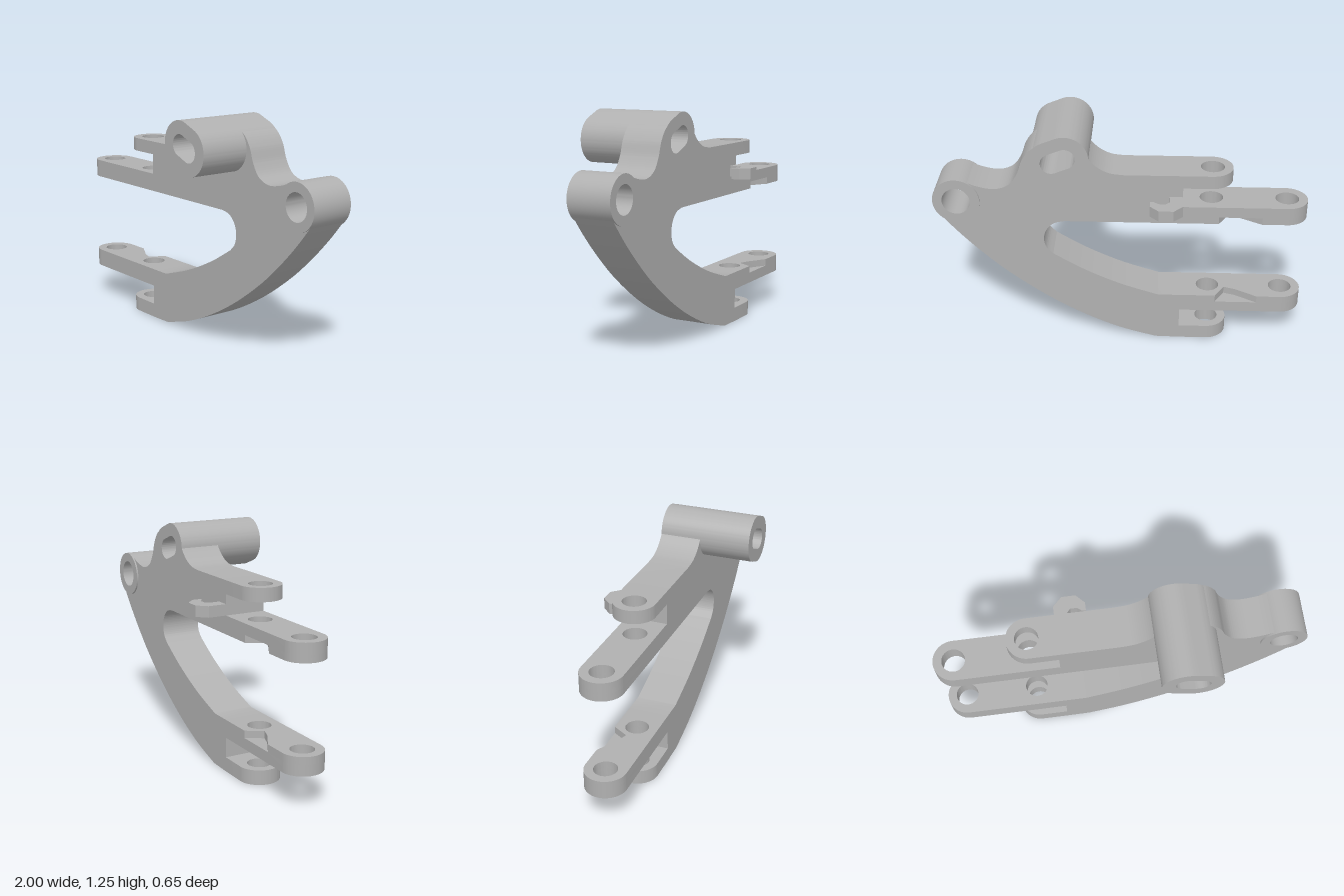
import * as THREE from 'three';
import { toCreasedNormals } from 'three/addons/utils/BufferGeometryUtils.js';

const BACK = -0.175, FRONT = 0.05, MID = (BACK + FRONT) / 2, HALF = (FRONT - BACK) / 2;
const ROOT = -0.33; // where the fork tines meet the body

const grey = new THREE.MeshStandardMaterial({ color: 0xb0b0b0 });
grey.name = 'plain grey';

const pts = (list) => list.map(([x, y]) => new THREE.Vector2(x, y));

function circle(x, y, r, Type = THREE.Path) {
  return new Type().absarc(x, y, r, 0, Math.PI * 2, false);
}

// Rounded slot running between two centres
function stadium([ax, ay], [bx, by], r, Type = THREE.Path) {
  const a = Math.atan2(by - ay, bx - ax);
  const s = new Type();
  s.absarc(bx, by, r, a - Math.PI / 2, a + Math.PI / 2, false);
  s.absarc(ax, ay, r, a + Math.PI / 2, a + Math.PI * 1.5, false);
  s.closePath();
  return s;
}

function extrude(shape, depth) {
  return new THREE.ExtrudeGeometry(shape, { depth, bevelEnabled: false, curveSegments: 24 });
}

function mesh(name, geometry) {
  const m = new THREE.Mesh(toCreasedNormals(geometry, 0.5), grey);
  m.name = name;
  return m;
}

// Side profile extruded from z0 to z1
const sidePart = (name, shape, z0, z1) => mesh(name, extrude(shape, z1 - z0).translate(0, 0, z0));

// Plan profile (x, z) extruded from y0 up to y1
const planPart = (name, shape, y0, y1) =>
  mesh(name, extrude(shape, y1 - y0).rotateX(Math.PI / 2).translate(0, y1, 0));

// Rounded tine seen from above, with bolt holes and an optional notch in its back edge
function tineShape(tip, holes, notch) {
  const s = new THREE.Shape();
  s.moveTo(ROOT, BACK);
  s.lineTo(ROOT, FRONT);
  s.absarc(tip + HALF, MID, HALF, Math.PI / 2, Math.PI * 1.5, false);
  if (notch) {
    [[-0.755, BACK], [-0.636, -0.107], [-0.577, -0.087], [-0.525, BACK]].forEach(([x, z]) => s.lineTo(x, z));
  }
  s.closePath();
  s.holes = holes.map((x) => circle(x, MID, 0.063));
  return s;
}

export function createModel() {
  const model = new THREE.Group();
  model.name = 'bracketArm';

  const slotA = [0.29, 1.125], slotB = [0.36, 1.097];
  const pivot = [0.87, 0.87];

  // Curved C-shaped body
  const body = new THREE.Shape();
  body.moveTo(ROOT, 0);
  body.lineTo(-0.2, 0.003);
  body.splineThru(pts([[0, 0.062], [0.2, 0.151], [0.4, 0.268], [0.6, 0.415], [0.75, 0.55], [0.87, 0.675], [0.966, 0.79]]));
  body.absarc(...pivot, 0.125, -0.69, 1.9, false);
  body.splineThru(pts([[0.75, 0.957], [0.66, 0.944], [0.585, 0.972], [0.54, 1.035], [0.51, 1.115], [0.465, 1.175], [0.4, 1.21], [0.335, 1.24]]));
  body.lineTo(0.29, 1.245);
  body.lineTo(0.21, 1.215);
  body.splineThru(pts([[0.165, 1.13], [0.115, 1.08], [0.055, 1.05], [-0.02, 1.04]]));
  body.lineTo(ROOT, 1.04);
  body.lineTo(ROOT, 0.755);
  body.lineTo(0.3, 0.755);
  body.splineThru(pts([[0.355, 0.74], [0.395, 0.7], [0.411, 0.645], [0.4, 0.59], [0.365, 0.55]]));
  body.splineThru(pts([[0.2, 0.452], [0, 0.36], [-0.21, 0.29]]));
  body.lineTo(ROOT, 0.29);
  body.closePath();
  body.holes = [stadium(slotA, slotB, 0.056), circle(...pivot, 0.075)];
  model.add(sidePart('body', body, BACK, FRONT));

  // Slotted boss projecting to the front
  const boss = stadium(slotA, slotB, 0.126, THREE.Shape);
  boss.holes = [stadium(slotA, slotB, 0.056)];
  model.add(sidePart('slottedBoss', boss, BACK, 0.325));

  // Pivot bushing, slightly proud of both faces
  const bushing = circle(...pivot, 0.126, THREE.Shape);
  bushing.holes = [circle(...pivot, 0.075)];
  model.add(sidePart('pivotBushing', bushing, -0.184, 0.06));

  // Fork tines: short outer ones, long inner ones with a shallow notched layer
  const longHoles = [-0.89, -0.485];
  const tines = [
    ['upperShortTine', -0.594, [-0.485], false, 0.967, 1.04],
    ['upperLongTine', -1, longHoles, false, 0.795, 0.855],
    ['upperLongTineNotchedLayer', -1, longHoles, true, 0.755, 0.795],
    ['lowerLongTineNotchedLayer', -1, longHoles, true, 0.25, 0.29],
    ['lowerLongTine', -1, longHoles, false, 0.19, 0.25],
    ['lowerShortTine', -0.594, [-0.485], false, 0, 0.08],
  ];
  for (const [name, tip, holes, notch, y0, y1] of tines) {
    model.add(planPart(name, tineShape(tip, holes, notch), y0, y1));
  }

  // Solid roots are part of the body; the small hook sits on its back face
  const hook = new THREE.Shape(pts([
    [-0.33, BACK], [-0.33, -0.275], [-0.28, -0.326], [-0.203, -0.326], [-0.157, -0.278], [-0.157, -0.232],
    [-0.178, -0.232], [-0.203, -0.252], [-0.24, -0.252], [-0.258, -0.232], [-0.258, BACK],
  ]));
  model.add(planPart('rearHook', hook, 0.855, 0.915));

  return model;
}
